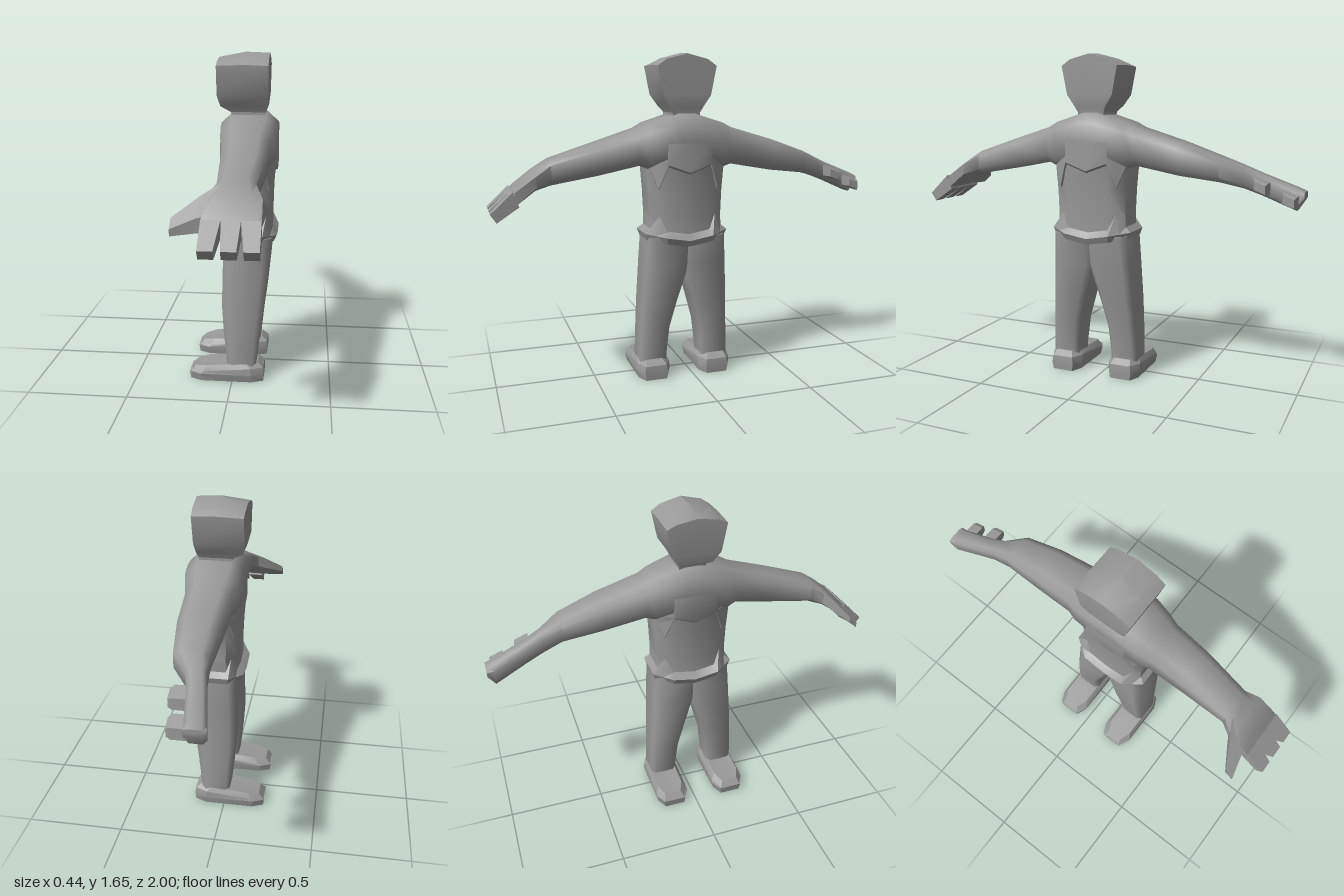
import * as THREE from 'three';
import { toCreasedNormals } from 'three/addons/utils/BufferGeometryUtils.js';

const material = new THREE.MeshStandardMaterial({ color: 0x999999 });

// Skins a row of equal-length rings, closes the listed ends and keeps faces outward.
function loft(name, rings, crease = 0.6, ends = [0, rings.length - 1]) {
  const n = rings[0].length, pos = rings.flat(2), idx = [];
  for (let r = 0; r + 1 < rings.length; r++)
    for (let i = 0; i < n; i++) {
      const a = r * n + i, b = r * n + (i + 1) % n;
      idx.push(a, b, b + n, a, b + n, a + n);
    }
  ends.forEach((r) => {
    const c = pos.length / 3;
    for (let k = 0; k < 3; k++) pos.push(rings[r].reduce((s, p) => s + p[k], 0) / n);
    for (let i = 0; i < n; i++) {
      const a = r * n + i, b = r * n + (i + 1) % n;
      r ? idx.push(c, a, b) : idx.push(c, b, a);
    }
  });
  // signed volume decides the winding
  const P = (i) => new THREE.Vector3().fromArray(pos, i * 3);
  let volume = 0;
  for (let i = 0; i < idx.length; i += 3)
    volume += P(idx[i]).dot(P(idx[i + 1]).cross(P(idx[i + 2])));
  if (volume < 0) idx.reverse();
  const g = new THREE.BufferGeometry();
  g.setAttribute('position', new THREE.Float32BufferAttribute(pos, 3));
  g.setIndex(idx);
  const mesh = new THREE.Mesh(toCreasedNormals(g, crease), material);
  mesh.name = name;
  return mesh;
}

// Rectangle with cut corners; c is the cut as a share of each side.
function octagon(a0, a1, b0, b1, c) {
  const a = (a1 - a0) * c, b = (b1 - b0) * c;
  return [[a0 + a, b0], [a1 - a, b0], [a1, b0 + b], [a1, b1 - b],
    [a1 - a, b1], [a0 + a, b1], [a0, b1 - b], [a0, b0 + b]];
}
const level = ([y, x0, x1, z0, z1, c = 0.2]) => octagon(x0, x1, z0, z1, c).map(([x, z]) => [x, y, z]);
const slice = ([z, x0, x1, y0, y1, c = 0.2]) => octagon(x0, x1, y0, y1, c).map(([x, y]) => [x, y, z]);

// Sixteen-point ring around the body, with a rule for its height.
function skirtRing(x0, x1, z0, z1, height) {
  const pts = octagon(x0, x1, z0, z1, 0.22), out = [];
  pts.forEach((p, i) => {
    const q = pts[(i + 1) % 8], mz = (p[1] + q[1]) / 2;
    out.push([p[0], height(2 * i, p[1]), p[1]], [(p[0] + q[0]) / 2, height(2 * i + 1, mz), mz]);
  });
  return out;
}

// Four-sided finger through sections [x, y, z, half height, half width];
// along x it slopes with the hand, along z its end is cut on a slant.
function finger(name, axis, slope, ...sections) {
  const ring = ([x, y, z, h, w]) => [[-1, -1], [1, -1], [1, 1], [-1, 1]].map(([s, t]) =>
    axis === 'x' ? [x, y + s * h - t * w * slope, z + t * w] : [x + t * w, y + s * h, z + s * slope]);
  return loft(name, sections.map(ring), 0.4);
}

export function createModel() {
  const model = new THREE.Group();
  const midZ = 0.04;

  // Head: wide at the brow, arched across the crown
  const headRing = (y, x0, x1, half, arch = 0, drop = 0) => {
    const f = [-1, -0.7, 0, 0.7, 1], lift = (t) => arch * (1 - Math.abs(t) ** 2.2);
    return [...f.map((t) => [x0, y + lift(t) * (1 - drop), midZ + t * half]),
      ...f.reverse().map((t) => [x1, y + lift(t), midZ + t * half])];
  };
  model.add(loft('head', [
    headRing(1.32, -0.01, 0.15, 0.07), headRing(1.365, -0.02, 0.15, 0.07),
    headRing(1.395, -0.072, 0.16, 0.085), headRing(1.45, -0.085, 0.165, 0.122),
    headRing(1.592, -0.085, 0.167, 0.15, 0.058, 0.35),
    headRing(1.597, 0.05, 0.05, 0.15, 0.058),
  ], 0.45, [0]));

  // Chest, both arms and the left palm in one sweep along z
  model.add(loft('chestAndArms', [
    [-1.0, -0.07, 0.03, 0.965, 1.0], [-0.965, -0.066, 0.032, 0.91, 1.016], [-0.8, -0.035, 0.055, 0.98, 1.08],
    [-0.72, -0.02, 0.075, 1.01, 1.115], [-0.62, -0.015, 0.15, 1.04, 1.155],
    [-0.42, -0.03, 0.175, 1.065, 1.225], [-0.2, -0.045, 0.18, 1.105, 1.29],
    [-0.15, -0.06, 0.195, 1.09, 1.315], [-0.06, -0.07, 0.212, 1.1, 1.342], [0, -0.07, 0.212, 1.1, 1.362],
    [0.08, -0.07, 0.212, 1.1, 1.362], [0.14, -0.07, 0.212, 1.1, 1.342],
    [0.23, -0.06, 0.195, 1.09, 1.315], [0.28, -0.045, 0.18, 1.11, 1.288], [0.48, -0.03, 0.175, 1.07, 1.225],
    [0.71, -0.018, 0.15, 1.03, 1.152], [0.785, -0.06, 0.183, 1.01, 1.1], [0.885, -0.062, 0.186, 0.945, 1.015, 0.05],
  ].map(slice), 1.0));

  // Left hand: three tapering fingers and a thumb
  const leftHand = new THREE.Group();
  leftHand.name = 'leftHand';
  [[-0.021, -0.032], [0.062, 0.062], [0.145, 0.154]].forEach(([x0, x1]) =>
    leftHand.add(finger('leftFinger', 'z', 0.014, [x0, 0.98, 0.88, 0.036, 0.041], [x1, 0.895, 0.986, 0.021, 0.032])));
  leftHand.add(finger('leftThumb', 'x', 0.85, [0, 1.045, 0.8, 0.036, 0.062],
    [-0.08, 1.02, 0.828, 0.032, 0.042], [-0.19, 0.978, 0.878, 0.015, 0.022]));
  model.add(leftHand);

  // Turned right hand: short fingers pointing back
  [[-0.81, 1.027, 0.127], [-0.94, 0.967, 0.107]].forEach(([z, y, x]) =>
    model.add(finger('rightFinger', 'x', -0.4, [-0.01, y, z, 0.028, 0.034],
      [x - 0.02, y, z, 0.028, 0.034], [x, y - 0.004, z, 0.02, 0.026])));

  // Torso
  model.add(loft('torso', [
    [0.72, -0.055, 0.19, -0.15, 0.23], [0.85, -0.05, 0.187, -0.145, 0.225],
    [0.98, -0.055, 0.19, -0.15, 0.23], [1.12, -0.065, 0.2, -0.16, 0.24],
  ].map(level), 1.0));

  // Ragged lower edge of the top layer: long points at the corners, shallow ones between
  const ragged = (i) => (i % 4 === 1 ? 1.065 : i % 4 === 3 ? 0.985 : 1.105);
  model.add(loft('raggedEdge', [
    skirtRing(-0.07, 0.212, -0.155, 0.235, () => 1.22),
    skirtRing(-0.071, 0.213, -0.158, 0.238, (i) => ragged(i) + 0.01),
    skirtRing(-0.062, 0.2, -0.154, 0.234, ragged),
    skirtRing(-0.04, 0.17, -0.13, 0.21, () => 1.13),
  ], 0.8));

  // Flared hip hem: points up at the corners, dips in the middle of front and back
  const hem = (i, z) => 0.77 - 0.037 * (1 - Math.abs(z - midZ) / 0.216);
  model.add(loft('hipHem', [
    skirtRing(-0.052, 0.19, -0.147, 0.227, (i, z) => (i % 4 === 3 ? 0.86 : hem(i, z) + 0.03)),
    skirtRing(-0.086, 0.215, -0.176, 0.256, hem),
    skirtRing(-0.072, 0.2, -0.165, 0.245, (i, z) => hem(i, z) - 0.032),
    skirtRing(-0.03, 0.16, -0.12, 0.2, () => 0.74),
  ], 0.5));

  // Legs and shoes, mirrored about the body's middle
  [-1, 1].forEach((s) => {
    const side = s > 0 ? 'left' : 'right';
    const z = (d) => midZ + s * d;
    const ring = ([y, x0, x1, d0, d1, c = 0.14]) => level([y, x0, x1, z(d0), z(d1), c]);
    model.add(loft(side + 'Leg', [
      [0.05, -0.025, 0.12, 0.095, 0.238], [0.12, -0.03, 0.125, 0.095, 0.238], [0.26, -0.045, 0.14, 0.082, 0.23],
      [0.4, -0.055, 0.158, 0.046, 0.222], [0.6, -0.052, 0.178, -0.015, 0.21], [0.75, -0.05, 0.19, -0.025, 0.2],
    ].map(ring), 1.0));
    // shoe: flat sole, upper sloping from the instep down to the toe
    const sloped = (base, x0, x1, d0, d1) => ring([0, x0, x1, d0, d1, 0.18]).map(([x, , zz]) =>
      [x, base + Math.min(0, (x + 0.03) * 0.19), zz]);
    model.add(loft(side + 'Shoe', [
      ring([0, -0.215, 0.16, 0.085, 0.245, 0.16]), ring([0.04, -0.22, 0.163, 0.077, 0.254, 0.16]),
      sloped(0.075, -0.216, 0.16, 0.08, 0.251), sloped(0.1, -0.19, 0.13, 0.1, 0.236),
    ], 0.4));
  });

  return model;
}
